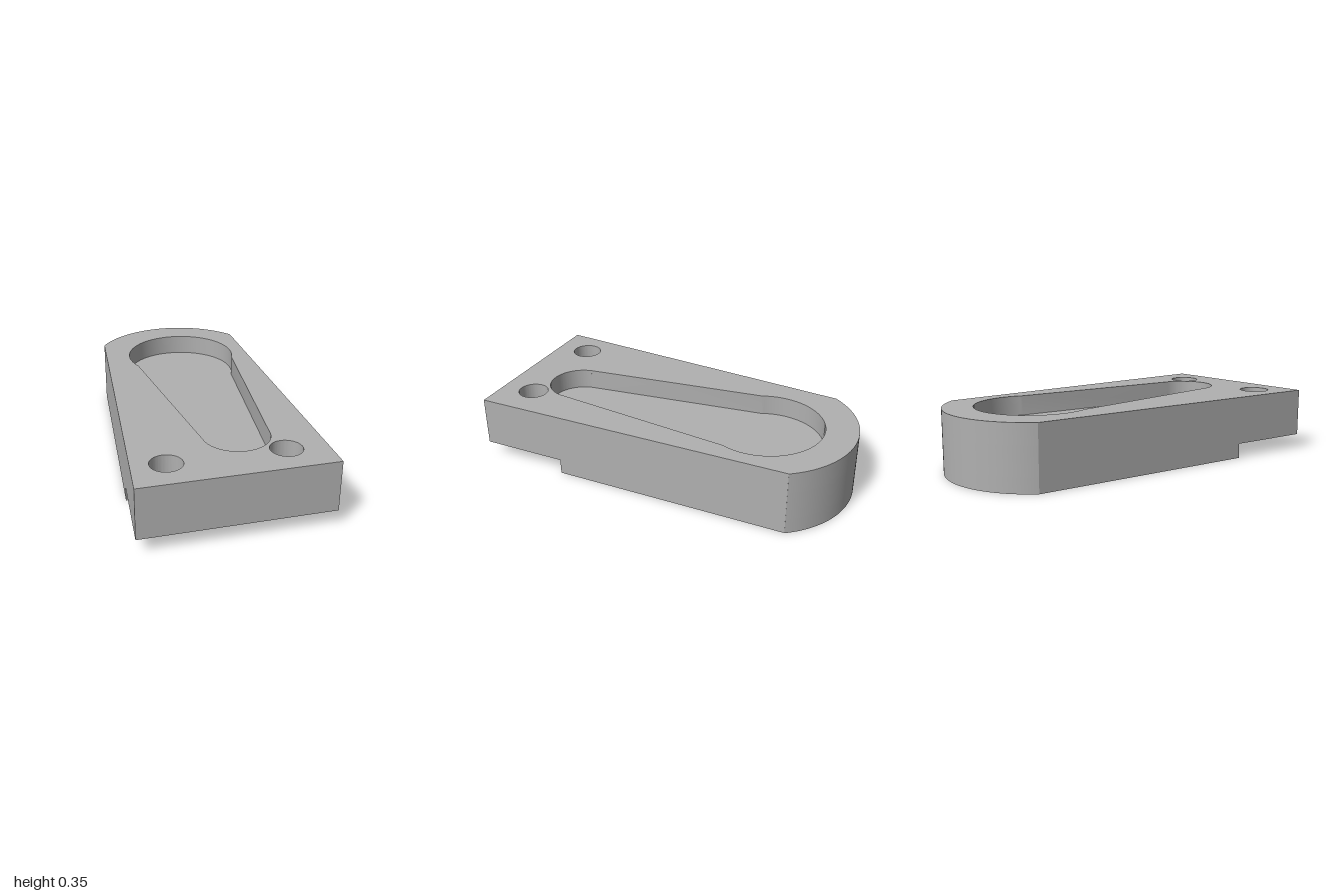
import * as THREE from 'three';
import { toCreasedNormals } from 'three/addons/utils/BufferGeometryUtils.js';

// Plan shapes are drawn in (x, -z) and extruded upwards.
const FRONT = 1, STEP = 0.525;
const Y_STEP = 0.083, Y_FLOOR = 0.24, Y_TOP = 0.352;

// Add an arc about (cx, cy), counter-clockwise between two points.
function arcBetween(path, cx, cy, r, x0, y0, x1, y1) {
  path.absarc(cx, cy, r, Math.atan2(y0 - cy, x0 - cx), Math.atan2(y1 - cy, x1 - cx), false);
}

// Tapered outline with a rounded back, cut off at the given front z
function outline(front) {
  const shape = new THREE.Shape();
  shape.moveTo(-0.498 + (FRONT - front) * 0.09, -front);
  shape.lineTo(0.496, -front);
  shape.lineTo(0.496, 0.776);
  arcBetween(shape, 0.078, 0.496, 0.504, 0.496, 0.776, -0.339, 0.778);
  shape.closePath();
  return shape;
}

function screwHoles() {
  return [-0.308, 0.286].map((x) => new THREE.Path().absarc(x, -0.812, 0.082, 0, Math.PI * 2, true));
}

// Keyhole-like recess: large round end at the back, small one at the front
function pocketOutline(path) {
  arcBetween(path, 0.094, 0.513, 0.316, 0.384, 0.39, -0.196, 0.39);
  path.lineTo(-0.076, -0.645);
  arcBetween(path, 0.094, -0.618, 0.172, -0.076, -0.645, 0.264, -0.645);
  path.closePath();
  return path;
}

export function createModel() {
  const model = new THREE.Group();
  const grey = new THREE.MeshStandardMaterial({ color: 0xb0b0b0 });
  grey.name = 'grey';

  function addLayer(name, shape, y0, y1) {
    const extruded = new THREE.ExtrudeGeometry(shape, { depth: y1 - y0, bevelEnabled: false, curveSegments: 40 });
    extruded.rotateX(-Math.PI / 2).translate(0, y0, 0);
    const mesh = new THREE.Mesh(toCreasedNormals(extruded, 0.3), grey);
    mesh.name = name;
    model.add(mesh);
  }

  // Thick foot behind the front step
  addLayer('foot', outline(STEP), 0, Y_STEP);

  // Full-length body up to the recess floor
  const body = outline(FRONT);
  body.holes.push(...screwHoles());
  addLayer('body', body, Y_STEP, Y_FLOOR);

  // Rim around the recess
  const rim = outline(FRONT);
  rim.holes.push(...screwHoles(), pocketOutline(new THREE.Path()));
  addLayer('rim', rim, Y_FLOOR, Y_TOP);

  return model;
}
